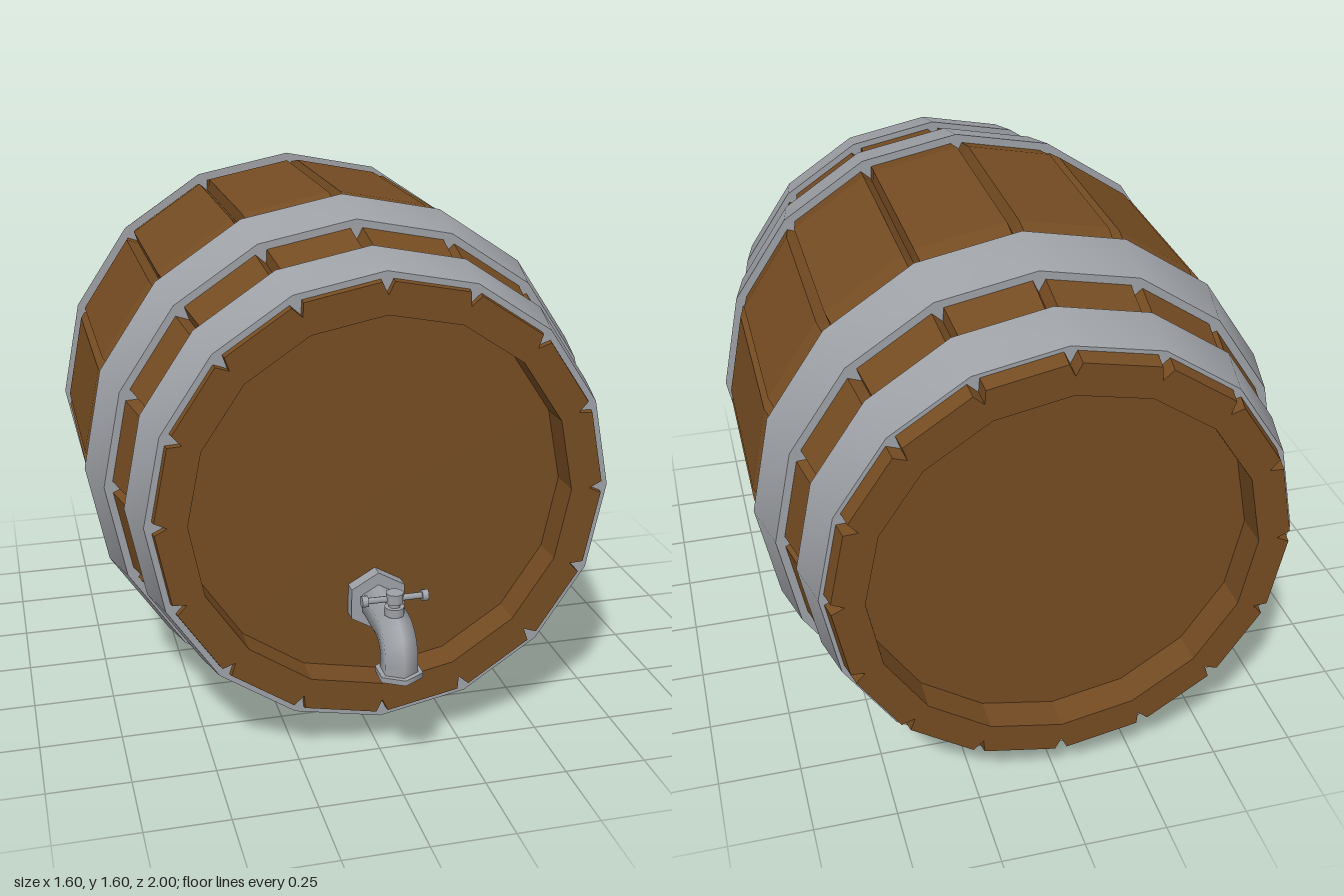
import * as THREE from 'three';
import { toCreasedNormals } from 'three/addons/utils/BufferGeometryUtils.js';

const SIDES = 16;
const AXIS_Y = 0.8;

// Skin a list of closed loops (each counterclockwise seen against the travel direction)
function loft(loops, crease) {
  const pos = [];
  const n = loops[0].length;
  for (let i = 0; i + 1 < loops.length; i++) {
    for (let j = 0; j < n; j++) {
      const k = (j + 1) % n;
      const a = loops[i][j], b = loops[i][k], c = loops[i + 1][k], d = loops[i + 1][j];
      for (const p of [a, b, c, a, c, d]) pos.push(p.x, p.y, p.z);
    }
  }
  const geo = new THREE.BufferGeometry();
  geo.setAttribute('position', new THREE.Float32BufferAttribute(pos, 3));
  geo.computeVertexNormals();
  return crease ? toCreasedNormals(geo, crease) : geo;
}

// Sixteen-sided loop; at each corner either a V groove or a plain corner
function staveLoop(z, r, grooved) {
  const w = 0.018;
  const edge = grooved ? r : r - w * Math.tan(Math.PI / SIDES);
  const tip = grooved ? r - 0.037 : r;
  const loop = [];
  for (let i = 0; i < SIDES; i++) {
    const a = (i / SIDES) * Math.PI * 2, c = Math.cos(a), s = Math.sin(a);
    for (const [q, o] of [[edge, -w], [tip, 0], [edge, w]]) {
      loop.push(new THREE.Vector3(q * c - o * s, q * s + o * c, z));
    }
  }
  return loop;
}

// Tapered solid hoop around the z axis
function hoopGeometry(z0, r0, z1, r1) {
  const t = 0.07;
  const profile = [[r0 - t, z0], [r0, z0], [r1, z1], [r1 - t, z1], [r0 - t, z0]];
  const geo = new THREE.LatheGeometry(profile.map(([r, z]) => new THREE.Vector2(r, z)), SIDES);
  geo.rotateX(Math.PI / 2);
  return toCreasedNormals(geo, 0.6);
}

export function createModel() {
  const wood = new THREE.MeshStandardMaterial({ color: 0x754c22 });
  wood.name = 'brown wood';
  const metal = new THREE.MeshStandardMaterial({ color: 0x9ea1a6 });
  metal.name = 'grey metal';

  const model = new THREE.Group();
  model.name = 'barrel';
  const add = (parent, name, geo, mat, x = 0, y = 0, z = 0) => {
    const mesh = new THREE.Mesh(geo, mat);
    mesh.name = name;
    mesh.position.set(x, y, z);
    parent.add(mesh);
    return mesh;
  };

  // Grooved staves with the rims and recess walls at both ends
  const staves = loft([
    staveLoop(-0.9, 0.565, false),
    staveLoop(-1.0, 0.565, false),
    staveLoop(-1.0, 0.658, true),
    staveLoop(-0.406, 0.79, true),
    staveLoop(0.176, 0.79, true),
    staveLoop(0.77, 0.658, true),
    staveLoop(0.77, 0.565, false),
    staveLoop(0.67, 0.565, false),
  ]);
  add(model, 'staves', staves, wood, 0, AXIS_Y, 0);

  // Recessed heads
  const head = new THREE.CircleGeometry(0.565, SIDES);
  add(model, 'frontHead', head, wood, 0, AXIS_Y, 0.67);
  add(model, 'backHead', head, wood, 0, AXIS_Y, -0.9).rotation.y = Math.PI;

  // Four hoops
  const hoops = [
    ['frontOuterHoop', 0.6, 0.72, 0.752, 0.684],
    ['frontInnerHoop', 0.262, 0.8, 0.432, 0.759],
    ['backInnerHoop', -0.667, 0.759, -0.497, 0.8],
    ['backOuterHoop', -0.952, 0.684, -0.8, 0.72],
  ];
  for (const [name, ...dims] of hoops) {
    add(model, name, hoopGeometry(...dims), metal, 0, AXIS_Y, 0);
  }

  // Tap: six-sided pipe that bends down to the outlet
  const tap = new THREE.Group();
  tap.name = 'tap';
  model.add(tap);
  const bendY = 0.4, bendZ = 0.855, bendR = 0.075;
  const pipeLoop = (a, dy = 0, dz = 0, r = 0.055) => {
    const up = new THREE.Vector3(0, Math.cos(a), Math.sin(a));
    return Array.from({ length: 6 }, (_, i) => {
      const t = (i / 6) * Math.PI * 2;
      return new THREE.Vector3(0, bendY + dy, bendZ + dz)
        .addScaledVector(up, bendR + r * Math.cos(t))
        .add(new THREE.Vector3(-r * Math.sin(t), 0, 0));
    });
  };
  const pipe = [pipeLoop(0, 0, 0.665 - bendZ)];
  for (let i = 0; i <= 5; i++) pipe.push(pipeLoop((i / 5) * Math.PI / 2));
  pipe.push(pipeLoop(Math.PI / 2, -0.035));
  add(tap, 'pipe', loft(pipe, 1.1), metal);

  const cyl = (r, h, sides = 6) => new THREE.CylinderGeometry(r, r, h, sides);
  add(tap, 'wallFlange', toCreasedNormals(cyl(0.093, 0.04).rotateX(Math.PI / 2), 0.6), metal, 0, 0.475, 0.69);
  add(tap, 'outletFlange', toCreasedNormals(cyl(0.07, 0.016), 1.1), metal, 0, 0.363, 0.93);

  // Valve stem and cross handle
  const valveZ = 0.875;
  add(tap, 'valveCollar', cyl(0.03, 0.025, 8), metal, 0, 0.53, valveZ);
  add(tap, 'valveStem', cyl(0.017, 0.05, 8), metal, 0, 0.545, valveZ);
  add(tap, 'valveHub', cyl(0.026, 0.03, 8), metal, 0, 0.57, valveZ);
  add(tap, 'handleBar', cyl(0.009, 0.17).rotateZ(Math.PI / 2), metal, 0, 0.567, valveZ);
  for (const side of [-1, 1]) {
    add(tap, side > 0 ? 'leftHandleKnob' : 'rightHandleKnob',
      cyl(0.017, 0.018, 8).rotateZ(Math.PI / 2), metal, side * 0.088, 0.567, valveZ);
  }

  return model;
}
